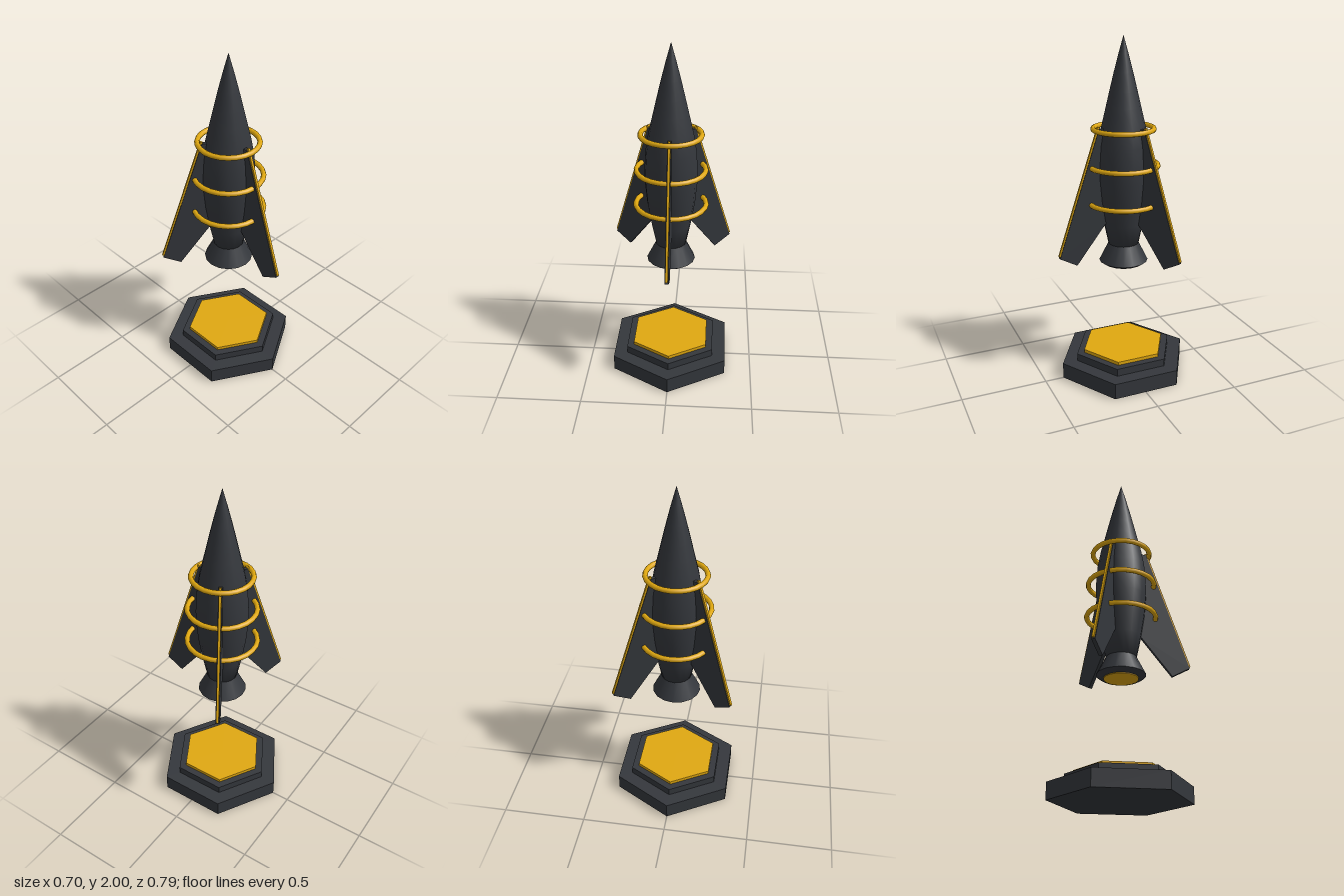
import * as THREE from 'three';

const dark = new THREE.MeshStandardMaterial({ color: 0x34373c });
const gold = new THREE.MeshStandardMaterial({ color: 0xe0a810 });
const darkFlat = dark.clone();
const goldFlat = gold.clone();
darkFlat.flatShading = goldFlat.flatShading = true;

function add(parent, name, geometry, material, y = 0) {
  const mesh = new THREE.Mesh(geometry, material);
  mesh.name = name;
  mesh.position.y = y;
  parent.add(mesh);
  return mesh;
}

// One swept fin with a gold strip on its leading edge, pointing along +x
function makeFin() {
  const fin = new THREE.Group();
  const thickness = 0.022;
  const outline = [[0.06, 1.5], [0.15, 1.5], [0.395, 0.77], [0.293, 0.715], [0.12, 0.94], [0.06, 0.98]];
  const shape = new THREE.Shape(outline.map(([r, y]) => new THREE.Vector2(r, y)));
  const blade = new THREE.ExtrudeGeometry(shape, { depth: thickness, bevelEnabled: false });
  blade.translate(0, 0, -thickness / 2);
  add(fin, 'finBlade', blade, darkFlat);

  const top = new THREE.Vector2(0.15, 1.51);
  const tip = new THREE.Vector2(0.394, 0.78);
  const strip = add(fin, 'finEdge', new THREE.BoxGeometry(0.014, top.distanceTo(tip), 0.014), goldFlat);
  strip.position.set((top.x + tip.x) / 2, (top.y + tip.y) / 2, 0);
  strip.rotation.z = Math.atan2(tip.x - top.x, top.y - tip.y);
  return fin;
}

export function createModel() {
  const model = new THREE.Group();
  model.name = 'rocketTrophy';
  model.position.z = -0.004;

  // Stepped hexagonal base: radius, bottom, top, material
  const steps = [
    ['basePlinth', 0.393, 0, 0.095, darkFlat],
    ['baseStep', 0.302, 0.095, 0.14, darkFlat],
    ['basePlate', 0.256, 0.14, 0.16, goldFlat],
  ];
  for (const [name, r, y0, y1, material] of steps) {
    add(model, name, new THREE.CylinderGeometry(r, r, y1 - y0, 6), material, (y0 + y1) / 2);
  }

  // Floating rocket
  const rocket = new THREE.Group();
  rocket.name = 'rocket';
  model.add(rocket);

  const profile = [
    [0, 0.81], [0.088, 0.81], [0.115, 0.94], [0.138, 1.08], [0.149, 1.2], [0.15, 1.28],
    [0.142, 1.4], [0.125, 1.5], [0.099, 1.61], [0.078, 1.7], [0.054, 1.8], [0.028, 1.9], [0, 2],
  ].map(([r, y]) => new THREE.Vector2(r, y));
  add(rocket, 'hull', new THREE.LatheGeometry(profile, 16), dark);

  // Engine bell, its turned-in lip and the glowing exhaust disc
  add(rocket, 'nozzle', new THREE.CylinderGeometry(0.086, 0.142, 0.112, 16), dark, 0.764);
  add(rocket, 'nozzleLip', new THREE.CylinderGeometry(0.142, 0.115, 0.018, 16), dark, 0.699);
  add(rocket, 'exhaust', new THREE.CylinderGeometry(0.1, 0.1, 0.01, 16), gold, 0.69);

  // Three fins, one facing front
  for (let i = 0; i < 3; i++) {
    const fin = makeFin();
    fin.name = ['frontFin', 'leftFin', 'rightFin'][i];
    fin.rotation.y = -Math.PI / 2 + (i * Math.PI * 2) / 3;
    rocket.add(fin);
  }

  // Gold rings around the hull
  for (const [r, y] of [[0.171, 1.49], [0.196, 1.28], [0.202, 1.067]]) {
    const ring = new THREE.TorusGeometry(r, 0.015, 8, 24);
    ring.rotateX(Math.PI / 2);
    add(rocket, 'ring', ring, gold, y);
  }
  return model;
}
